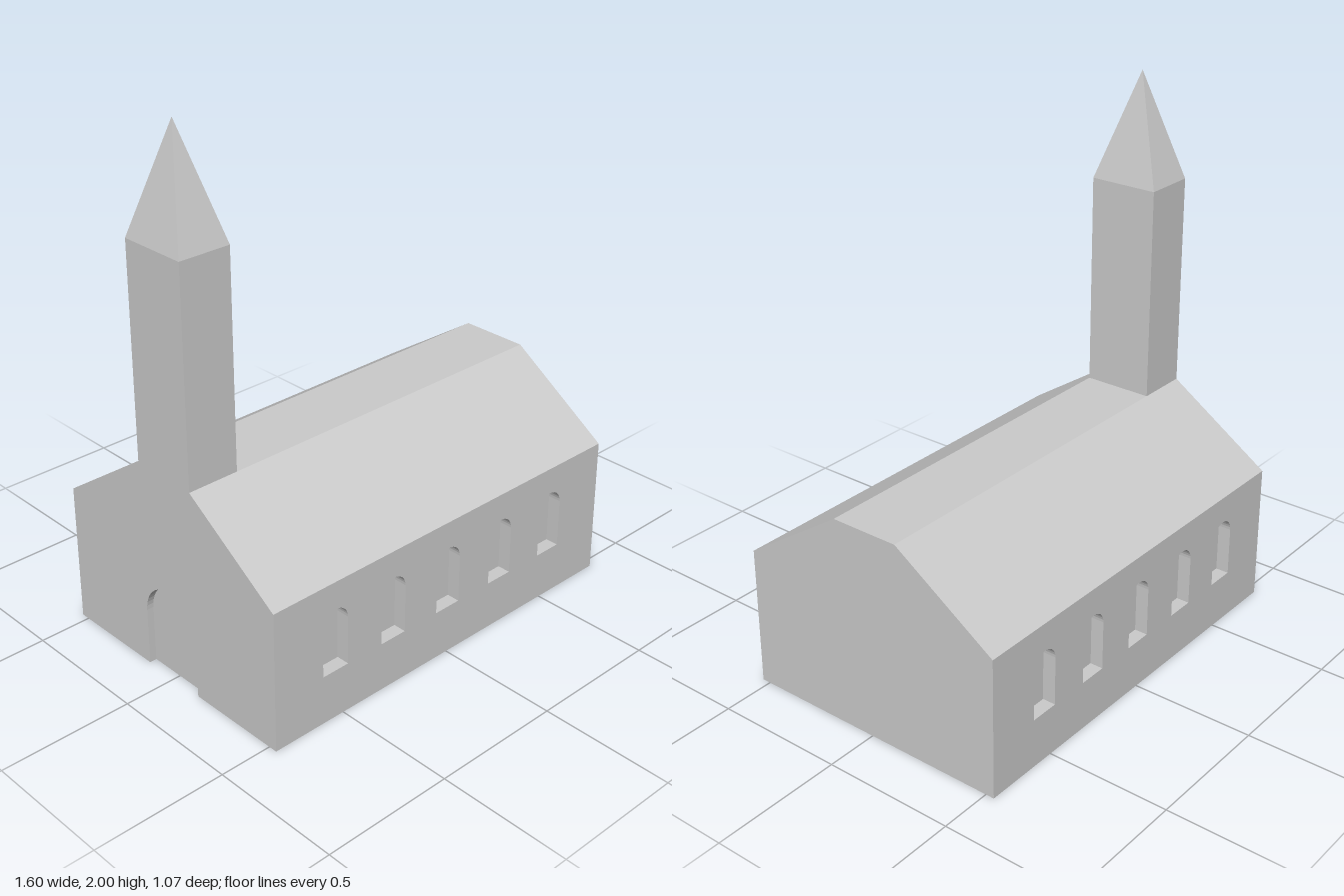
import * as THREE from 'three';

const HALF_L = 0.8, HALF_W = 0.533, EAVE = 0.533, TOP = 0.8, TOP_HALF = 0.133;
const material = new THREE.MeshStandardMaterial({
  color: 0xcccccc, flatShading: true, side: THREE.DoubleSide,
});

function part(name, geometry, parent) {
  const mesh = new THREE.Mesh(geometry, material);
  mesh.name = name;
  parent.add(mesh);
  return mesh;
}

// Sweeps an XY polyline straight back along -z, without caps
function strip(points, depth) {
  const pos = [];
  for (let i = 0; i < points.length - 1; i++) {
    const a = points[i], b = points[i + 1];
    pos.push(a.x, a.y, 0, b.x, b.y, 0, b.x, b.y, -depth);
    pos.push(a.x, a.y, 0, b.x, b.y, -depth, a.x, a.y, -depth);
  }
  const g = new THREE.BufferGeometry();
  g.setAttribute('position', new THREE.Float32BufferAttribute(pos, 3));
  g.computeVertexNormals();
  return g;
}

// Round-headed opening, counter-clockwise from the bottom right corner
function archPoints(cx, bottom, spring, r, segments) {
  const pts = [new THREE.Vector2(cx + r, bottom)];
  for (let i = 0; i <= segments; i++) {
    const a = (Math.PI * i) / segments;
    pts.push(new THREE.Vector2(cx + r * Math.cos(a), spring + r * Math.sin(a)));
  }
  pts.push(new THREE.Vector2(cx - r, bottom));
  return pts;
}

// Reveal and set-back panel of an opening
function recess(name, pts, depth, withSill, parent) {
  part(name + 'Reveal', strip(withSill ? [...pts, pts[0]] : pts, depth), parent);
  const panel = part(name + 'Panel', new THREE.ShapeGeometry(new THREE.Shape(pts)), parent);
  panel.position.z = -depth;
}

// Long wall with five recessed windows
function sideWall(name) {
  const wall = new THREE.Group();
  wall.name = name;
  const shape = new THREE.Shape([
    new THREE.Vector2(-HALF_L, 0), new THREE.Vector2(HALF_L, 0),
    new THREE.Vector2(HALF_L, EAVE), new THREE.Vector2(-HALF_L, EAVE),
  ]);
  for (let i = -2; i <= 2; i++) {
    const pts = archPoints(i * 0.267, 0.187, 0.373, 0.056, 16);
    shape.holes.push(new THREE.Path(pts));
    recess('window', pts, 0.05, true, wall);
  }
  part('wallFace', new THREE.ShapeGeometry(shape), wall);
  return wall;
}

// Cross-section of the roof, from eave to eave
const roofLine = [[-HALF_W, EAVE], [-TOP_HALF, TOP], [TOP_HALF, TOP], [HALF_W, EAVE]]
  .map(([x, y]) => new THREE.Vector2(x, y));

// Gable wall, optionally with an arched doorway cut up from the ground
function endWall(name, hasDoor) {
  const wall = new THREE.Group();
  wall.name = name;
  const outline = [new THREE.Vector2(-HALF_W, 0)];
  if (hasDoor) {
    const pts = archPoints(0, 0, 0.22, 0.133, 24);
    outline.push(...[...pts].reverse());
    recess('door', pts, 0.027, false, wall);
  }
  outline.push(new THREE.Vector2(HALF_W, 0), ...[...roofLine].reverse());
  part('wallFace', new THREE.ShapeGeometry(new THREE.Shape(outline)), wall);
  return wall;
}

export function createModel() {
  const model = new THREE.Group();
  model.name = 'chapel';

  // Walls, open underneath
  const front = sideWall('frontWall');
  front.position.z = HALF_W;
  const back = sideWall('backWall');
  back.position.z = -HALF_W;
  back.rotation.y = Math.PI;
  const plainEnd = endWall('plainEndWall', false);
  plainEnd.position.x = HALF_L;
  plainEnd.rotation.y = Math.PI / 2;
  const doorEnd = endWall('doorEndWall', true);
  doorEnd.position.x = -HALF_L;
  doorEnd.rotation.y = -Math.PI / 2;
  model.add(front, back, plainEnd, doorEnd);

  // Roof with a flat top
  const roof = part('roof', strip(roofLine, 2 * HALF_L), model);
  roof.position.x = HALF_L;
  roof.rotation.y = Math.PI / 2;

  // Tower and spire share one rectangular plan
  const tower = new THREE.Group();
  tower.name = 'tower';
  tower.position.set(-0.7, TOP, 0);
  const r = Math.SQRT1_2;
  const shaft = new THREE.CylinderGeometry(r, r, 0.8, 4, 1, true);
  const spire = new THREE.ConeGeometry(r, 0.4, 4, 1, true);
  for (const g of [shaft, spire]) g.rotateY(Math.PI / 4).scale(0.2, 1, 2 * TOP_HALF);
  part('towerShaft', shaft, tower).position.y = 0.4;
  part('spire', spire, tower).position.y = 1.0;
  model.add(tower);

  return model;
}
